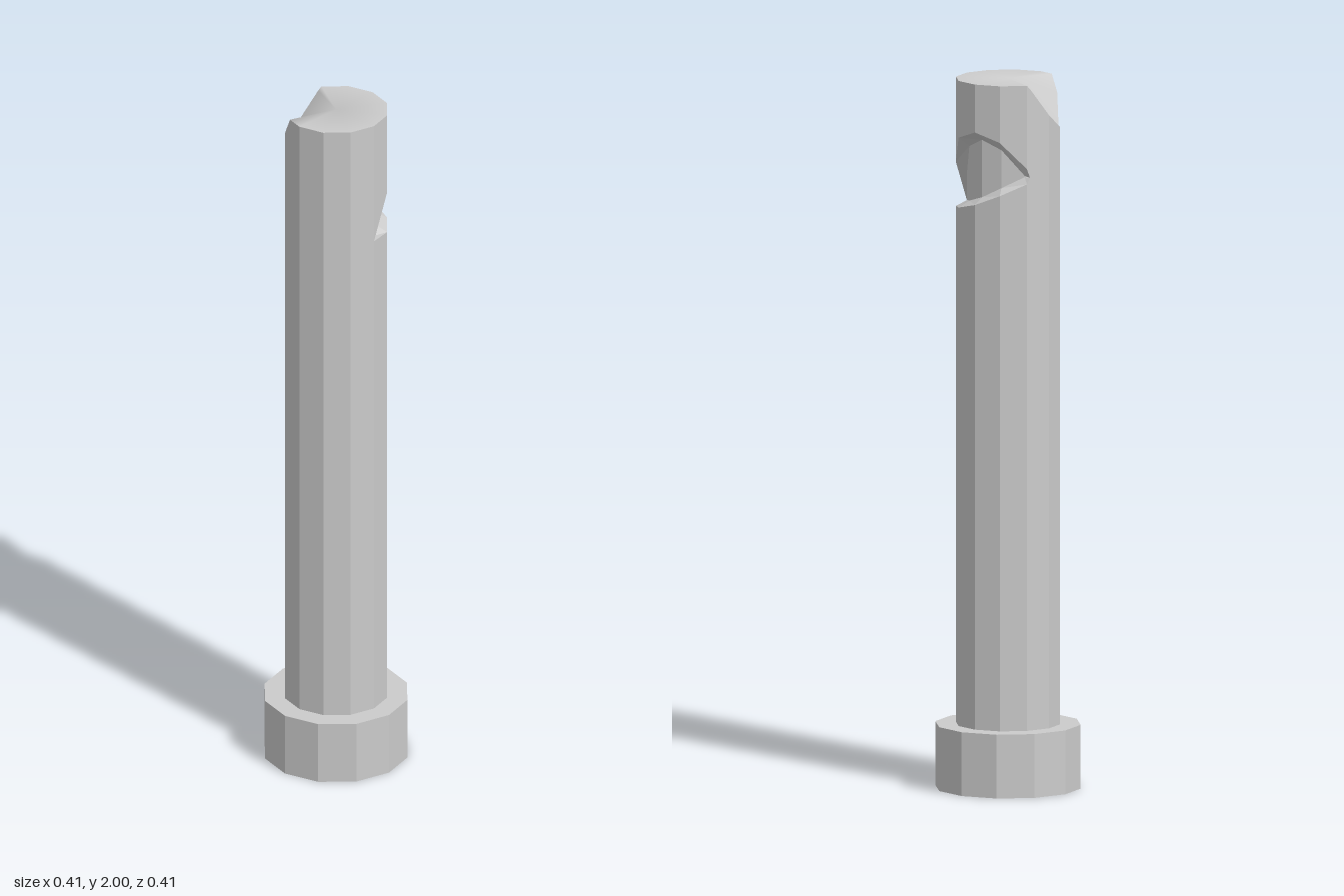
import * as THREE from 'three';

const R = 0.147, BASE_TOP = 0.18;
const rad = THREE.MathUtils.degToRad;

// Point on a regular 12-sided outline with corners every 30 degrees
function onOutline(deg, y, radius = R) {
  const off = (((deg % 30) + 30) % 30) - 15;
  const r = radius * Math.cos(rad(15)) / Math.cos(rad(off));
  return new THREE.Vector3(r * Math.cos(rad(deg)), y, r * Math.sin(rad(deg)));
}

// Flat-faced band of quads between two matching rows of points
function band(lower, upper) {
  const pts = [];
  for (let i = 0; i < lower.length - 1; i++) {
    const [a, b, c, d] = [lower[i], upper[i], upper[i + 1], lower[i + 1]];
    pts.push(a, b, c, a, c, d);
  }
  const g = new THREE.BufferGeometry().setFromPoints(pts);
  g.computeVertexNormals();
  return g;
}

export function createModel() {
  const group = new THREE.Group();
  const flat = new THREE.MeshStandardMaterial({ color: 0xcccccc, flatShading: true, side: THREE.DoubleSide });
  const smooth = new THREE.MeshStandardMaterial({ color: 0xcccccc, side: THREE.DoubleSide });
  const add = (name, geometry, material = flat) => {
    const mesh = new THREE.Mesh(geometry, material);
    mesh.name = name;
    group.add(mesh);
  };

  // Base plinth
  const base = new THREE.CylinderGeometry(0.205, 0.205, BASE_TOP, 12);
  base.translate(0, BASE_TOP / 2, 0);
  add('base', base);

  // Chipped side: angle, lower edge, upper edge, depth radius
  const chip = [
    [-64, 1.74, 1.74, 0.138], [-60, 1.722, 1.765, 0.13], [-30, 1.69, 1.84, 0.117],
    [0, 1.66, 1.865, 0.115], [30, 1.643, 1.84, 0.115], [60, 1.635, 1.76, 0.115],
    [90, 1.64, 1.64, 0.118],
  ];
  // Broken rim: angle, height
  const rim = [
    [-64, 1.99], [-60, 2], [-30, 2], [0, 2], [30, 2], [60, 2], [90, 2], [120, 2], [150, 2],
    [180, 2], [200, 2], [210, 1.95], [229, 1.83], [240, 1.865], [270, 1.91], [296, 1.99],
  ];
  const split = (i, k) => (chip[i] ? chip[i][k] : i === rim.length - 1 ? chip[0][k] : 1.7);

  // Shaft walls below and above the chip
  const foot = rim.map(([a]) => onOutline(a, BASE_TOP));
  const chipLow = rim.map(([a], i) => onOutline(a, split(i, 1)));
  const chipHigh = rim.map(([a], i) => onOutline(a, split(i, 2)));
  const top = rim.map(([a, y]) => onOutline(a, y));
  add('lowerShaft', band(foot, chipLow));
  add('upperShaft', band(chipHigh, top));

  // Recess behind the chip: sill, back and ceiling
  const innerLow = chip.map(([a, lo, hi, r]) => onOutline(a, Math.min(lo + 0.018, (lo + hi) / 2), r));
  const innerHigh = chip.map(([a, lo, hi, r]) => onOutline(a, Math.max(hi - 0.025, (lo + hi) / 2), r));
  add('chipSill', band(chipLow.slice(0, chip.length), innerLow));
  add('chipBack', band(innerLow, innerHigh));
  add('chipCeiling', band(innerHigh, chipHigh.slice(0, chip.length)));

  // Broken top: smooth fan from the centre to the rim
  const n = rim.length - 1;
  const fan = new THREE.BufferGeometry().setFromPoints([new THREE.Vector3(0, 2, 0), ...top.slice(0, n)]);
  const index = [];
  for (let i = 0; i < n; i++) index.push(0, 1 + (i + 1) % n, 1 + i);
  fan.setIndex(index);
  fan.computeVertexNormals();
  add('brokenTop', fan, smooth);

  return group;
}
